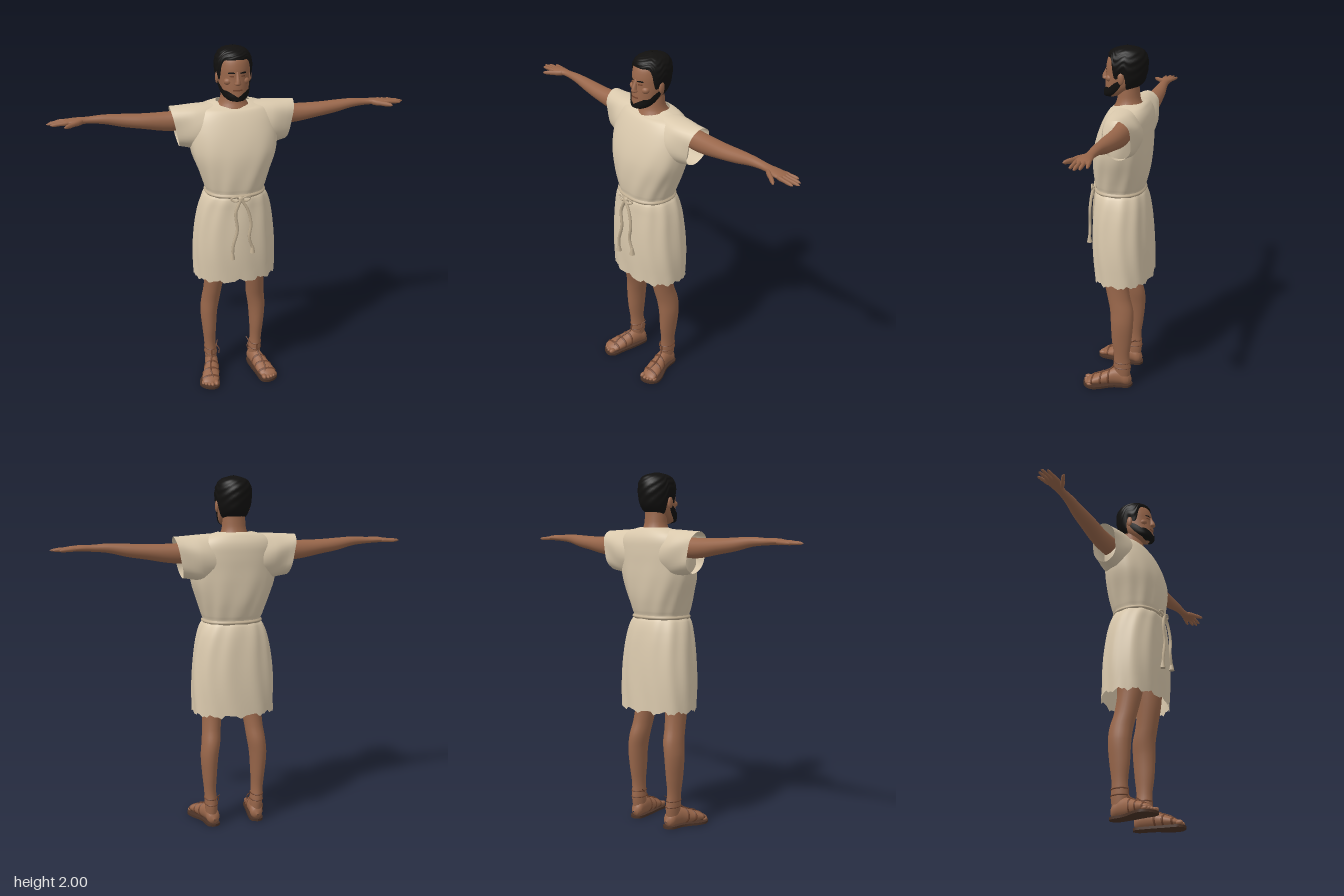
import * as THREE from 'three';
import { mergeVertices } from 'three/addons/utils/BufferGeometryUtils.js';

const mat = (name, color, side = THREE.FrontSide) => {
  const m = new THREE.MeshStandardMaterial({ color, side });
  m.name = name;
  return m;
};

// Grid surface: f(u, v) -> [x, y, z]; wrap closes it around u
function surf(nu, nv, f, wrap = true) {
  const pos = [], idx = [], cols = wrap ? nu : nu + 1;
  for (let j = 0; j <= nv; j++) for (let i = 0; i < cols; i++) pos.push(...f(i / nu, j / nv));
  for (let j = 0; j < nv; j++) for (let i = 0; i < nu; i++) {
    const a = j * cols + i, b = j * cols + (i + 1) % cols;
    idx.push(a, a + cols, b, b, a + cols, b + cols);
  }
  const g = new THREE.BufferGeometry();
  g.setAttribute('position', new THREE.Float32BufferAttribute(pos, 3));
  g.setIndex(idx);
  g.computeVertexNormals();
  return g;
}

// Smooth lookup through rows [position, ...values]
function lookup(rows) {
  const c = new THREE.CubicInterpolant(rows.map(r => r[0]), rows.flatMap(r => r.slice(1)), rows[0].length - 1);
  return t => [...c.evaluate(t)];
}

// Point on a cross-section; the two centres and radii follow the axes other than the long one
function ringPoint(axis, t, [c1, c2, r1, r2], a, p = 2) {
  const pw = q => Math.sign(q) * Math.abs(q) ** (2 / p);
  const u = Math.max(r1, 0.001) * pw(Math.cos(a)), w = Math.max(r2, 0.001) * pw(Math.sin(a));
  if (axis === 'y') return [c1 + u, t, c2 + w];
  if (axis === 'x') return [t, c1 + u, c2 - w];
  return [c1 + u, c2 - w, t];
}

// Skin over sections [position, centre1, centre2, radius1, radius2]
function loft(axis, secs, { n = 24, k = 4, p = 2, mod = q => q } = {}) {
  const at = lookup(secs), spans = secs.length - 1;
  return surf(n, spans * k, (u, v) => {
    const s = v * spans, i = Math.min(Math.floor(s + 1e-6), spans - 1);
    const t = THREE.MathUtils.lerp(secs[i][0], secs[i + 1][0], s - i), a = u * Math.PI * 2;
    return mod(ringPoint(axis, t, at(t), a, p), a);
  });
}

// Thin band hugging a lofted limb
function band(axis, secs, t, half = 0.006, grow = 0.004) {
  const at = lookup(secs);
  return loft(axis, [-half, 0, half].map((d, i) => {
    const [a, b, c, e] = at(t + d), g = i === 1 ? grow : 0;
    return [t + d, a, b, c + g, e + g];
  }), { k: 2 });
}

const cord = (pts, r) => new THREE.TubeGeometry(new THREE.CatmullRomCurve3(pts.map(p => new THREE.Vector3(...p))), 20, r, 6);
const ball = (x, y, z, a, b, c) => new THREE.SphereGeometry(1, 16, 12).scale(a, b, c).translate(x, y, z);

function mirrored(g) {
  const m = g.clone().scale(-1, 1, 1), ix = m.index.array;
  for (let i = 0; i < ix.length; i += 3) [ix[i], ix[i + 1]] = [ix[i + 1], ix[i]];
  return m;
}

export function createModel() {
  const root = new THREE.Group();
  root.name = 'manInTunic';
  const skin = mat('skin', 0x98664a), lip = mat('darkSkin', 0x74452f), hair = mat('blackHair', 0x11100f, THREE.DoubleSide);
  const cloth = mat('linen', 0xd9c8ac, THREE.DoubleSide), belt = mat('beltCord', 0xc0ae92);
  const leather = mat('leather', 0x70452f), soleMat = mat('soleLeather', 0x4a3226);
  const add = (name, g, m) => {
    const mesh = new THREE.Mesh(g, m);
    mesh.name = name;
    root.add(mesh);
  };
  const pair = (name, g, m) => {
    add('left' + name, g, m);
    add('right' + name, mirrored(g), m);
  };

  // Head and neck
  const headSecs = [[1.718, 0, 0.05, 0.004, 0.004], [1.725, 0, 0.052, 0.032, 0.03], [1.74, 0, 0.035, 0.056, 0.052],
    [1.77, 0, 0.005, 0.073, 0.081], [1.8, 0, -0.015, 0.081, 0.1], [1.85, 0, -0.025, 0.087, 0.105],
    [1.9, 0, -0.03, 0.089, 0.107], [1.95, 0, -0.034, 0.077, 0.092], [1.978, 0, -0.036, 0.047, 0.057], [1.99, 0, -0.036, 0.003, 0.003]];
  const headAt = lookup(headSecs);
  const onHead = (a, y, off) => {
    const [c1, c2, r1, r2] = headAt(y);
    return ringPoint('y', y, [c1, c2, r1 + off, r2 + off], a);
  };
  const patch = (a0, a1, low, high, off, nu = 10, nv = 4) => surf(nu, nv, (u, v) => {
    const a = a0 + (a1 - a0) * u;
    return onHead(a, THREE.MathUtils.lerp(low(a), high(a), v), off);
  }, false);
  add('head', loft('y', headSecs, { n: 32 }), skin);
  add('neck', loft('y', [[1.62, 0, -0.055, 0.13, 0.09], [1.66, 0, -0.05, 0.1, 0.09], [1.7, 0, -0.045, 0.072, 0.068],
    [1.76, 0, -0.045, 0.063, 0.057], [1.82, 0, -0.045, 0.06, 0.055]]), skin);
  add('nose', loft('y', [[1.81, 0, 0.085, 0.004, 0.004], [1.816, 0, 0.086, 0.017, 0.016], [1.83, 0, 0.085, 0.014, 0.02],
    [1.86, 0, 0.078, 0.009, 0.013], [1.885, 0, 0.07, 0.008, 0.008]], { n: 12 }), skin);
  pair('Ear', ball(0.09, 1.835, -0.022, 0.01, 0.032, 0.018), skin);
  pair('Cheek', ball(0.045, 1.828, 0.05, 0.024, 0.02, 0.022), skin);

  // Hair, beard and facial details
  const hairline = lookup([[-1, 1.768], [-0.6, 1.772], [-0.3, 1.8], [-0.08, 1.86], [0.08, 1.85], [0.25, 1.83], [0.42, 1.845], [0.6, 1.92], [1, 1.942]]);
  add('hair', surf(64, 24, (u, v) => {
    const a = u * Math.PI * 2, h = hairline(Math.sin(a))[0];
    const y = THREE.MathUtils.lerp(h, 1.9899, Math.sin(v * Math.PI / 2));
    const wave = 0.002 * Math.sin(9 * a + 40 * v) * Math.sin(v * Math.PI);
    const q = onHead(a, y, (0.003 + 0.009 * Math.min(1, v * 5) + wave) * (1 - v ** 8));
    q[1] += 0.01 * v;
    return q;
  }), hair);
  add('beard', patch(-0.05, Math.PI + 0.05, () => 1.7195,
    a => 1.748 + 0.034 * Math.min(1, 1.5 * Math.abs(Math.cos(a))) + 0.04 * Math.max(0, Math.abs(Math.cos(a)) - 0.85) / 0.15, 0.006, 40, 8), hair);
  pair('Brow', patch(1.02, 1.42, () => 1.872, a => 1.877 + 0.004 * Math.sin((a - 1) * 7), 0.003), hair);
  pair('Eye', patch(1.08, 1.34, () => 1.855, () => 1.862, 0.002), lip);
  add('mouth', patch(1.25, Math.PI - 1.25, () => 1.781, () => 1.789, 0.003), lip);

  // Tunic body with folds, ragged hem and dipped neckline
  add('tunicBody', loft('y', [[0.69, 0, -0.025, 0.235, 0.165], [0.85, 0, -0.018, 0.235, 0.168], [1, 0, -0.013, 0.222, 0.163],
    [1.12, 0, -0.008, 0.2, 0.152], [1.18, 0, -0.002, 0.178, 0.142], [1.205, 0, 0, 0.162, 0.132], [1.24, 0, -0.002, 0.172, 0.14],
    [1.32, 0, -0.008, 0.2, 0.152], [1.42, 0, -0.015, 0.235, 0.155], [1.5, 0, -0.025, 0.245, 0.148], [1.58, 0, -0.04, 0.24, 0.135],
    [1.64, 0, -0.052, 0.22, 0.118], [1.68, 0, -0.055, 0.17, 0.095], [1.695, 0, -0.05, 0.115, 0.085], [1.7, 0, -0.047, 0.092, 0.075]],
  { n: 72, p: 2.3, mod: ([x, y, z], a) => {
    const fold = 1 + (y < 1.55 ? 0.016 * Math.sin(11 * a + 3 * Math.sin(y * 5)) * Math.min(1, (1.55 - y) * 4) : 0);
    const hem = y < 0.72 ? 0.008 * Math.sin(13 * a) + 0.006 * Math.sin(29 * a) - 0.008 : 0;
    const dip = 0.025 * Math.max(0, Math.sin(a)) * THREE.MathUtils.smoothstep(y, 1.66, 1.7);
    return [x * fold, y + hem - dip, z * fold];
  } }), cloth);
  pair('Sleeve', loft('x', [[0.08, 1.56, -0.05, 0.133, 0.1], [0.2, 1.561, -0.055, 0.126, 0.105],
    [0.28, 1.565, -0.06, 0.117, 0.085], [0.322, 1.567, -0.065, 0.113, 0.075]],
  { n: 36, p: 2.2, mod: ([x, y, z], a) => [x + 0.1 * (x - 0.08) * Math.cos(a), y, z + 0.003 * Math.sin(5 * a + 20 * x)] }), cloth);

  // Belt, knot and hanging ends
  add('belt', loft('y', [[1.192, 0, 0, 0.165, 0.136], [1.203, 0, 0, 0.172, 0.143], [1.214, 0, 0, 0.165, 0.136]], { n: 48, p: 2.3 }), belt);
  add('beltKnot', ball(0, 1.195, 0.152, 0.02, 0.016, 0.014), belt);
  pair('BowLoop', cord([[0.005, 1.195, 0.155], [0.03, 1.212, 0.163], [0.055, 1.2, 0.155], [0.03, 1.185, 0.162], [0.005, 1.195, 0.157]], 0.005), belt);
  const ends = {
    rightBeltEnd: [[0, 1.195, 0.16], [-0.03, 1.12, 0.165], [-0.022, 1.02, 0.17], [-0.045, 0.93, 0.172], [-0.05, 0.87, 0.17]],
    leftBeltEnd: [[0, 1.195, 0.16], [0.035, 1.14, 0.165], [0.055, 1.05, 0.17], [0.045, 0.97, 0.172], [0.065, 0.9, 0.17]],
  };
  for (const [name, pts] of Object.entries(ends)) {
    add(name, cord(pts, 0.009), belt);
    const [x, y, z] = pts[4];
    add(name + 'Tassel', new THREE.CylinderGeometry(0.007, 0.016, 0.045, 8).translate(x, y - 0.005, z), belt);
  }

  // Arms, palms and fingers
  pair('Arm', loft('x', [[0.2, 1.6, -0.08, 0.055, 0.055], [0.34, 1.592, -0.08, 0.054, 0.05], [0.5, 1.605, -0.075, 0.041, 0.046],
    [0.6, 1.616, -0.075, 0.035, 0.038], [0.7, 1.63, -0.072, 0.025, 0.028], [0.79, 1.632, -0.07, 0.018, 0.024],
    [0.84, 1.633, -0.065, 0.017, 0.035], [0.89, 1.632, -0.065, 0.012, 0.038], [0.915, 1.631, -0.066, 0.004, 0.03]]), skin);
  const finger = (x0, z0, x1, z1, r) => loft('x', [0, 0.12, 0.5, 0.9, 1].map((t, i) => [
    x0 + (x1 - x0) * t, 1.632 - 0.006 * t, z0 + (z1 - z0) * t, r * [0.2, 1, 0.9, 0.7, 0.05][i], r * [0.2, 1, 0.9, 0.7, 0.05][i]]), { n: 10, k: 2 });
  [['IndexFinger', 0.87, -0.037, 0.98, -0.033], ['MiddleFinger', 0.87, -0.056, 1, -0.058],
    ['RingFinger', 0.87, -0.075, 0.987, -0.081], ['LittleFinger', 0.86, -0.092, 0.955, -0.107],
    ['Thumb', 0.8, -0.055, 0.91, 0.022]].forEach(([name, ...f]) => pair(name, finger(...f, name === 'Thumb' ? 0.014 : 0.01), skin));

  // Legs
  const leg = [[0.07, 0.136, -0.045, 0.034, 0.045], [0.12, 0.138, -0.045, 0.036, 0.05], [0.2, 0.143, -0.043, 0.034, 0.046],
    [0.3, 0.146, -0.043, 0.041, 0.058], [0.42, 0.146, -0.045, 0.05, 0.066], [0.5, 0.136, -0.04, 0.053, 0.068],
    [0.58, 0.127, -0.02, 0.053, 0.066], [0.7, 0.117, 0, 0.06, 0.072], [0.85, 0.11, -0.005, 0.075, 0.09], [1.05, 0.09, -0.01, 0.085, 0.1]];
  pair('Leg', loft('y', leg), skin);

  // Feet and toes
  const foot = [[-0.1, 0.132, 0.04, 0.004, 0.004], [-0.085, 0.132, 0.045, 0.03, 0.033], [-0.04, 0.136, 0.06, 0.038, 0.05],
    [0, 0.142, 0.06, 0.04, 0.05], [0.05, 0.155, 0.05, 0.046, 0.04], [0.1, 0.168, 0.041, 0.051, 0.03],
    [0.135, 0.176, 0.034, 0.049, 0.021], [0.155, 0.18, 0.028, 0.036, 0.014], [0.165, 0.18, 0.027, 0.004, 0.004]];
  pair('Foot', loft('z', foot), skin);
  [[0.147, 0.16, 0.014], [0.171, 0.164, 0.011], [0.19, 0.158, 0.01], [0.207, 0.149, 0.01], [0.222, 0.137, 0.009]]
    .forEach(([x, z, r], i) => pair('Toe' + (i + 1), ball(x, 0.014 + r, z, r, r, r * 1.7), skin));

  // Sandals: sole, foot straps, ankle laces
  const outline = new THREE.Shape();
  outline.moveTo(0.13, -0.106);
  outline.splineThru([[0.168, -0.085], [0.185, 0], [0.228, 0.08], [0.238, 0.13], [0.21, 0.172], [0.16, 0.187], [0.126, 0.16],
    [0.115, 0.09], [0.1, 0], [0.096, -0.08], [0.13, -0.106]].map(p => new THREE.Vector2(...p)));
  const sole = new THREE.ExtrudeGeometry(outline, { depth: 0.014, bevelEnabled: false, curveSegments: 48 });
  pair('Sole', mergeVertices(sole.rotateX(Math.PI / 2).translate(0, 0.014, 0)), soleMat);
  [0.03, 0.075, 0.125].forEach((z, i) => pair('FootStrap' + (i + 1), band('z', foot, z), leather));
  [0.125, 0.16].forEach((y, i) => pair('AnkleLace' + (i + 1), band('y', leg, y, 0.004), leather));
  pair('CentreStrap', cord([[0.158, 0.045, 0.14], [0.165, 0.074, 0.1], [0.157, 0.092, 0.05], [0.143, 0.118, 0.01], [0.14, 0.16, 0.004]], 0.005), leather);
  pair('LaceEnds', cord([[0.09, 0.18, -0.07], [0.1, 0.16, -0.045], [0.088, 0.14, -0.03], [0.092, 0.115, -0.02]], 0.003), leather);
  return root;
}
